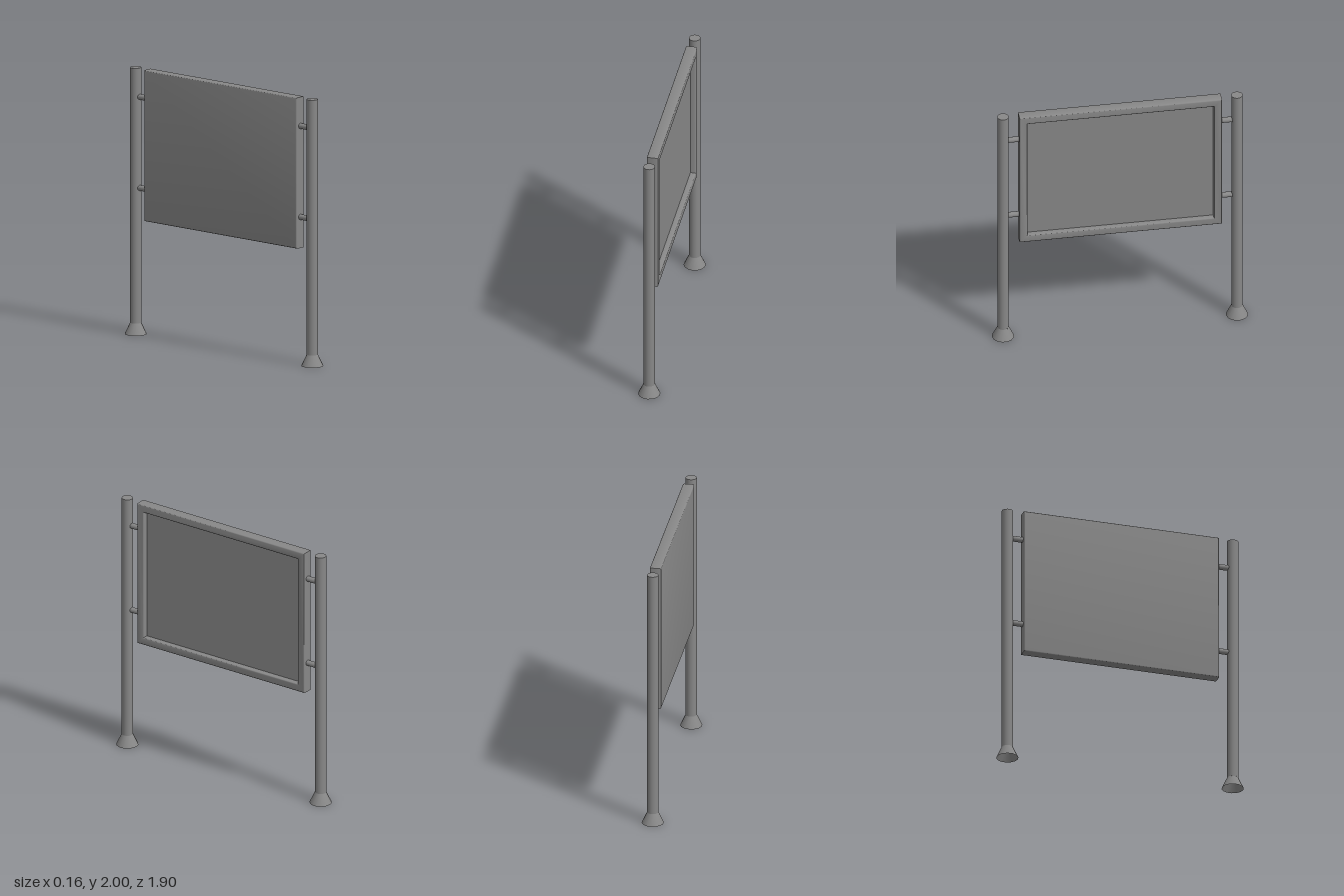
import * as THREE from 'three';
import { toCreasedNormals } from 'three/addons/utils/BufferGeometryUtils.js';

const material = new THREE.MeshStandardMaterial({ color: 0x888888 });
const openMaterial = new THREE.MeshStandardMaterial({ color: 0x888888, side: THREE.DoubleSide });

// Display case as rectangular rings [inset, x], running from the back face
// round the outer edge and into the recess on the +x side.
function caseGeometry(halfY, halfZ, rings) {
  const corners = [[-1, -1], [1, -1], [1, 1], [-1, 1]];
  const loops = rings.map(([inset, x]) =>
    corners.map(([y, z]) => [x, y * (halfY - inset), z * (halfZ - inset)]));
  const positions = [];
  const quad = (a, b, c, d) => positions.push(...a, ...b, ...c, ...a, ...c, ...d);
  for (let i = 0; i < loops.length - 1; i++) {
    for (let k = 0; k < 4; k++) {
      const n = (k + 1) % 4;
      quad(loops[i][k], loops[i][n], loops[i + 1][n], loops[i + 1][k]);
    }
  }
  quad(...[...loops[0]].reverse()); // back face
  quad(...loops[loops.length - 1]); // recessed board
  const geometry = new THREE.BufferGeometry();
  geometry.setAttribute('position', new THREE.Float32BufferAttribute(positions, 3));
  return toCreasedNormals(geometry, 0.6);
}

// Quarter round of the frame section, turning from angle a to angle b
function roundEdge(inset, x, radius, a, b) {
  return [0, 1, 2, 3].map((i) => {
    const t = THREE.MathUtils.degToRad(a + (b - a) * i / 3);
    return [inset - radius * Math.cos(t), x + radius * Math.sin(t)];
  });
}

export function createModel() {
  const group = new THREE.Group();
  const add = (name, geometry, x, y, z, mat = material) => {
    const mesh = new THREE.Mesh(geometry, mat);
    mesh.name = name;
    mesh.position.set(x, y, z);
    group.add(mesh);
  };

  const postZ = 0.87, postRadius = 0.042, footHeight = 0.085;
  const bottom = 0.867, halfY = (2 - bottom) / 2, halfZ = 0.753;
  const halfDepth = 0.043, r = 0.01, border = 0.06;

  // Notice board with a rounded frame and recessed face
  add('noticeBoard', caseGeometry(halfY, halfZ, [
    ...roundEdge(r, r - halfDepth, r, -90, 0),
    ...roundEdge(r, halfDepth - r, r, 0, 90),
    ...roundEdge(border - r, halfDepth - r, r, 90, 180),
    [border, 0.002],
  ]), 0, bottom + halfY, 0);

  for (const [side, s] of [['front', 1], ['back', -1]]) {
    // Upright with flared, hollow foot
    add(side + 'Post', new THREE.CylinderGeometry(postRadius, postRadius, 2 - footHeight, 20),
      0, (2 + footHeight) / 2, s * postZ);
    add(side + 'Foot', new THREE.CylinderGeometry(postRadius, 0.082, footHeight, 14, 1, true),
      0, footHeight / 2, s * postZ, openMaterial);

    // Short pegs joining board and post
    const inner = halfZ - 0.01, outer = postZ - 0.02;
    for (const [level, y] of [['Upper', 1.783], ['Lower', 1.1]]) {
      const peg = new THREE.CylinderGeometry(0.021, 0.021, outer - inner, 16);
      peg.rotateX(Math.PI / 2);
      add(side + level + 'Bracket', peg, 0, y, s * (inner + outer) / 2);
    }
  }
  return group;
}
